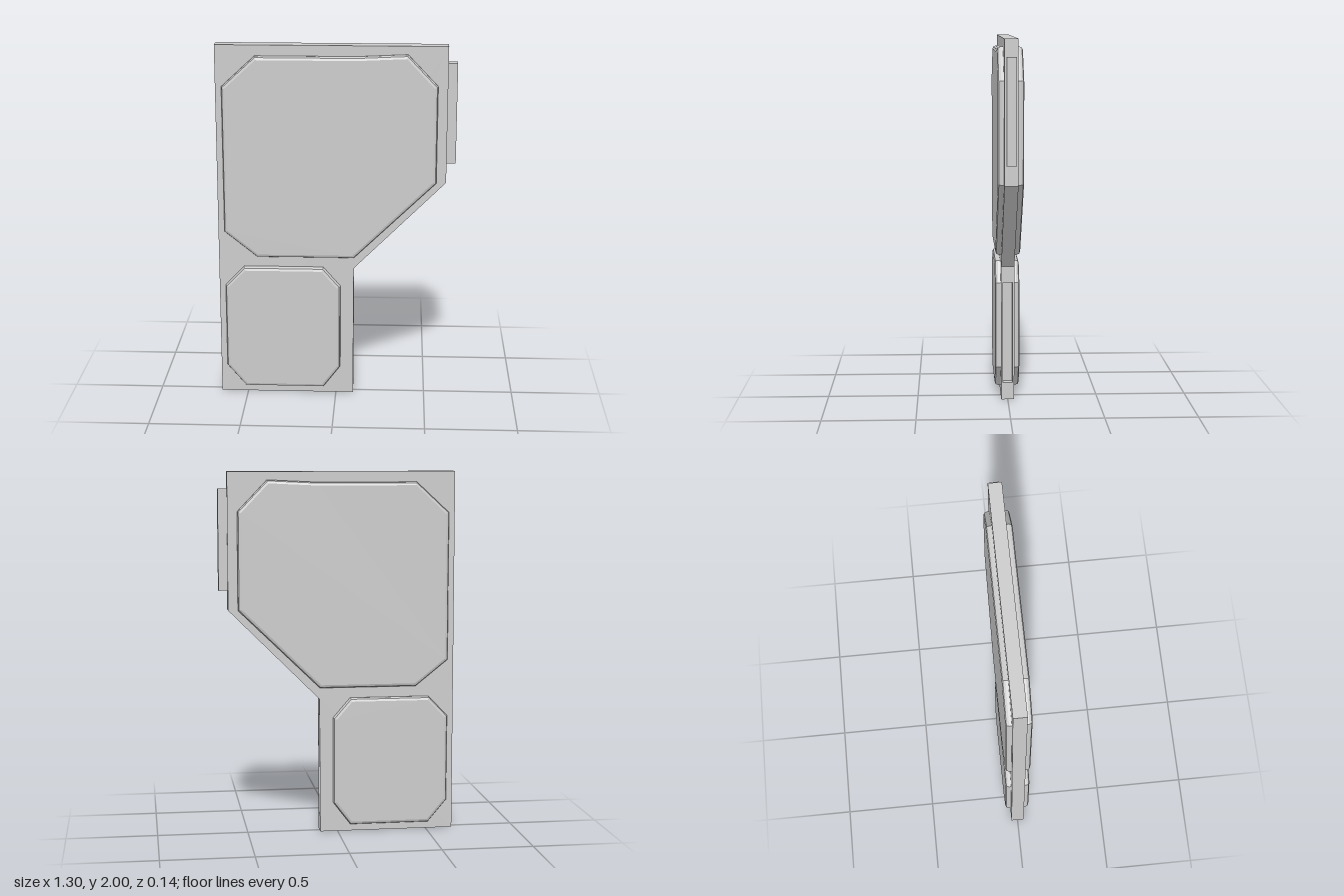
import * as THREE from 'three';

const material = new THREE.MeshStandardMaterial({ color: 0xcccccc, flatShading: true });

const shapeOf = (points) => new THREE.Shape(points.map(([x, y]) => new THREE.Vector2(x, y)));

function addMesh(parent, name, geometry) {
  const mesh = new THREE.Mesh(geometry, material);
  mesh.name = name;
  parent.add(mesh);
}

// Flat slab between two depths
function slab(points, z0, z1) {
  return new THREE.ExtrudeGeometry(shapeOf(points), { depth: z1 - z0, bevelEnabled: false })
    .translate(0, 0, z0);
}

// Raised panel running through the plate, with softened rims on both faces
function panel(points, halfDepth) {
  const bevel = 0.018;
  const depth = 2 * (halfDepth - bevel);
  return new THREE.ExtrudeGeometry(shapeOf(points), {
    depth, bevelThickness: bevel, bevelSize: bevel, bevelOffset: -bevel, bevelSegments: 2,
  }).translate(0, 0, -depth / 2);
}

export function createModel() {
  const model = new THREE.Group();
  model.name = 'panelledPlate';

  const half = 0.036;   // half thickness of the plate
  const inner = 0.026;  // half thickness of the tab and its matching slot

  // Base plate: two outer skins and a core with a slot cut into its lower edge
  const lowerLeft = [[-0.65, 0], [0.097, 0]];
  const upper = [[0.1, 0.75], [0.6, 1.25], [0.6, 2], [-0.65, 2]];
  const slot = [[0.097, 0.095], [0.05, 0.095], [0.05, 0.66], [0.1, 0.66]];
  const outline = [...lowerLeft, ...upper];
  const plate = new THREE.Group();
  plate.name = 'basePlate';
  addMesh(plate, 'plateCore', slab([...lowerLeft, ...slot, ...upper], -inner, inner));
  addMesh(plate, 'plateFrontSkin', slab(outline, inner, half));
  addMesh(plate, 'plateBackSkin', slab(outline, -half, -inner));
  model.add(plate);

  // Raised panels, showing on both faces
  addMesh(model, 'upperPanel', panel([
    [-0.615, 0.96], [-0.435, 0.815], [0.1, 0.815], [0.547, 1.25], [0.547, 1.785],
    [0.385, 1.955], [0.11, 1.942], [-0.435, 1.942], [-0.615, 1.775],
  ], 0.068));
  addMesh(model, 'lowerPanel', panel([
    [-0.615, 0.165], [-0.51, 0.04], [-0.07, 0.04], [0.025, 0.165],
    [0.025, 0.645], [-0.07, 0.755], [-0.51, 0.755], [-0.615, 0.645],
  ], 0.068));

  // Edge tab
  addMesh(model, 'edgeTab', new THREE.BoxGeometry(0.06, 0.55, 2 * inner).translate(0.62, 1.633, 0));

  return model;
}
